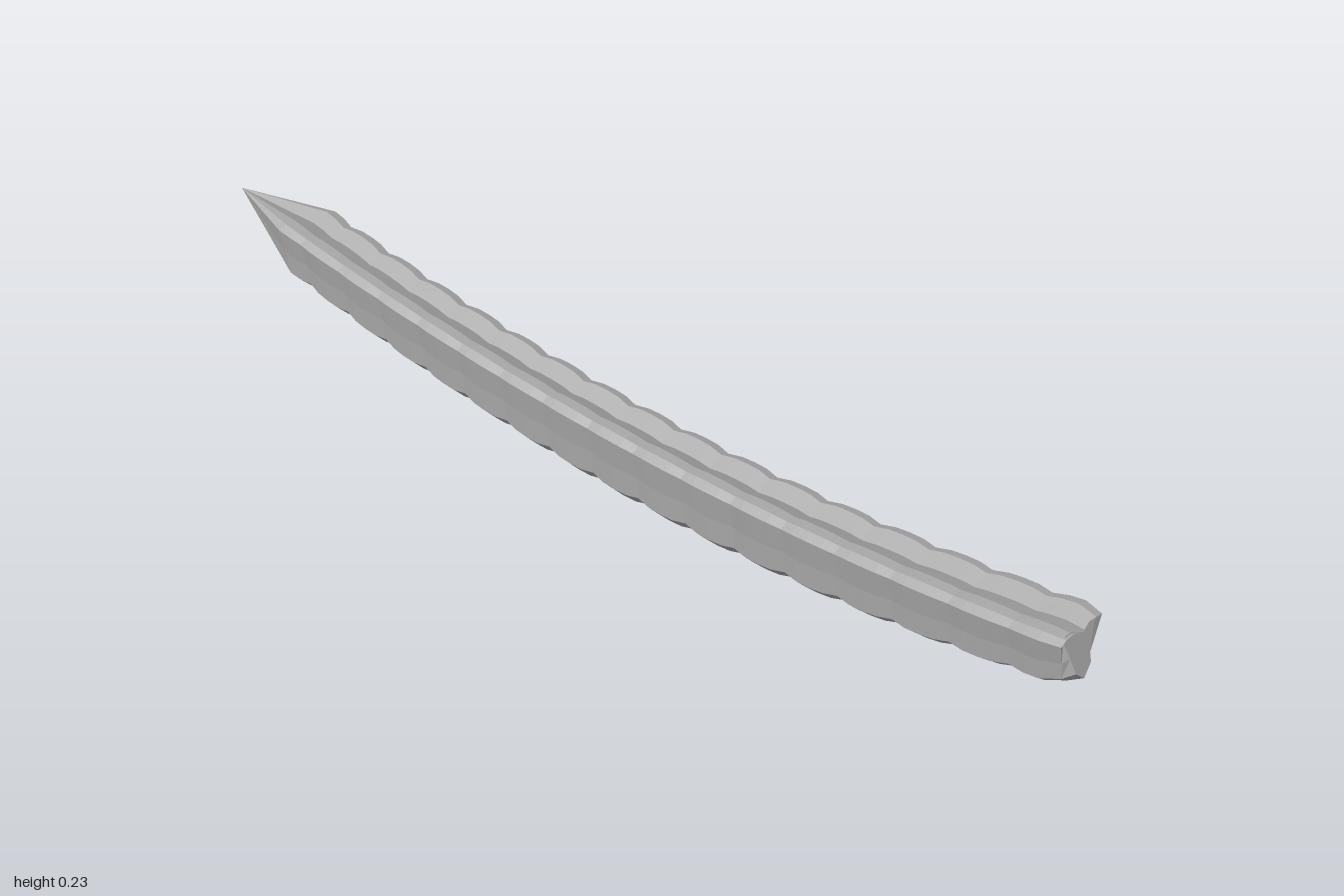
import * as THREE from 'three';

// Cross-section, anticlockwise seen from +z: [x offset, height fraction]
const SECTION = [
  [-0.072, 0.95], [-0.06, 0.55], [-0.053, 0.2], [-0.025, 0], [0.018, 0.15],
  [0.025, 0.33], [0.075, 0.78], [0.052, 0.85], [0.018, 0.77], [-0.03, 0.97], [-0.055, 1],
];
const MID = 0.55; // height fraction of the section's centre
const BACK = -0.8, FRONT = 0.94, BUMPS = 16, STEPS = 4;

// Bowed spine: sideways lean, lower edge and upper edge along z
const centreX = z => -0.117 * z;
const lowY = z => 0.004 + (z > 0 ? 0.13 : 0.105) * z * z;
const highY = z => 0.152 + (z > 0 ? 0.088 : 0.08) * z * z;

function ring(z, scale, low = lowY(z), high = highY(z), lean = 0) {
  return SECTION.map(([dx, t]) => {
    const f = MID + (t - MID) * scale;
    return [centreX(z) + dx * scale, low + f * (high - low), z - lean * t];
  });
}

function bladeGeometry() {
  const rings = [SECTION.map(() => [0.115, 0.182, -1])]; // pointed tip
  // Scalloped body
  const count = BUMPS * STEPS;
  for (let i = 0; i <= count; i++) {
    const bulge = Math.sqrt(Math.abs(Math.sin((i / STEPS + 0.5) * Math.PI)));
    rings.push(ring(BACK + (FRONT - BACK) * i / count, 0.92 + 0.09 * bulge));
  }
  // Blunt end, tilted back and narrowed
  rings.push(ring(0.975, 0.85));
  const end = ring(1, 1, 0.155, 0.23, 0.03).map(([x, y, z]) => [-0.122 + (x + 0.117) * 0.6, y, z]);
  rings.push(end);

  const pos = [];
  const n = SECTION.length;
  for (let i = 0; i < rings.length - 1; i++) {
    for (let j = 0; j < n; j++) {
      const k = (j + 1) % n;
      const a = rings[i][j], b = rings[i][k], c = rings[i + 1][j], d = rings[i + 1][k];
      if (i > 0) pos.push(...a, ...b, ...c);
      pos.push(...b, ...d, ...c);
    }
  }
  // End cap
  const hub = [-0.122, 0.155 + 0.075 * 0.6, 1 - 0.03 * 0.6];
  for (let j = 0; j < n; j++) pos.push(...hub, ...end[j], ...end[(j + 1) % n]);

  const geo = new THREE.BufferGeometry();
  geo.setAttribute('position', new THREE.Float32BufferAttribute(pos, 3));
  geo.computeVertexNormals();
  return geo;
}

export function createModel() {
  const group = new THREE.Group();
  group.name = 'curvedRidgedBlade';
  const grey = new THREE.MeshStandardMaterial({ color: 0xb0b0b0, flatShading: true });
  grey.name = 'grey';
  const blade = new THREE.Mesh(bladeGeometry(), grey);
  blade.name = 'scallopedBlade';
  group.add(blade);
  return group;
}
